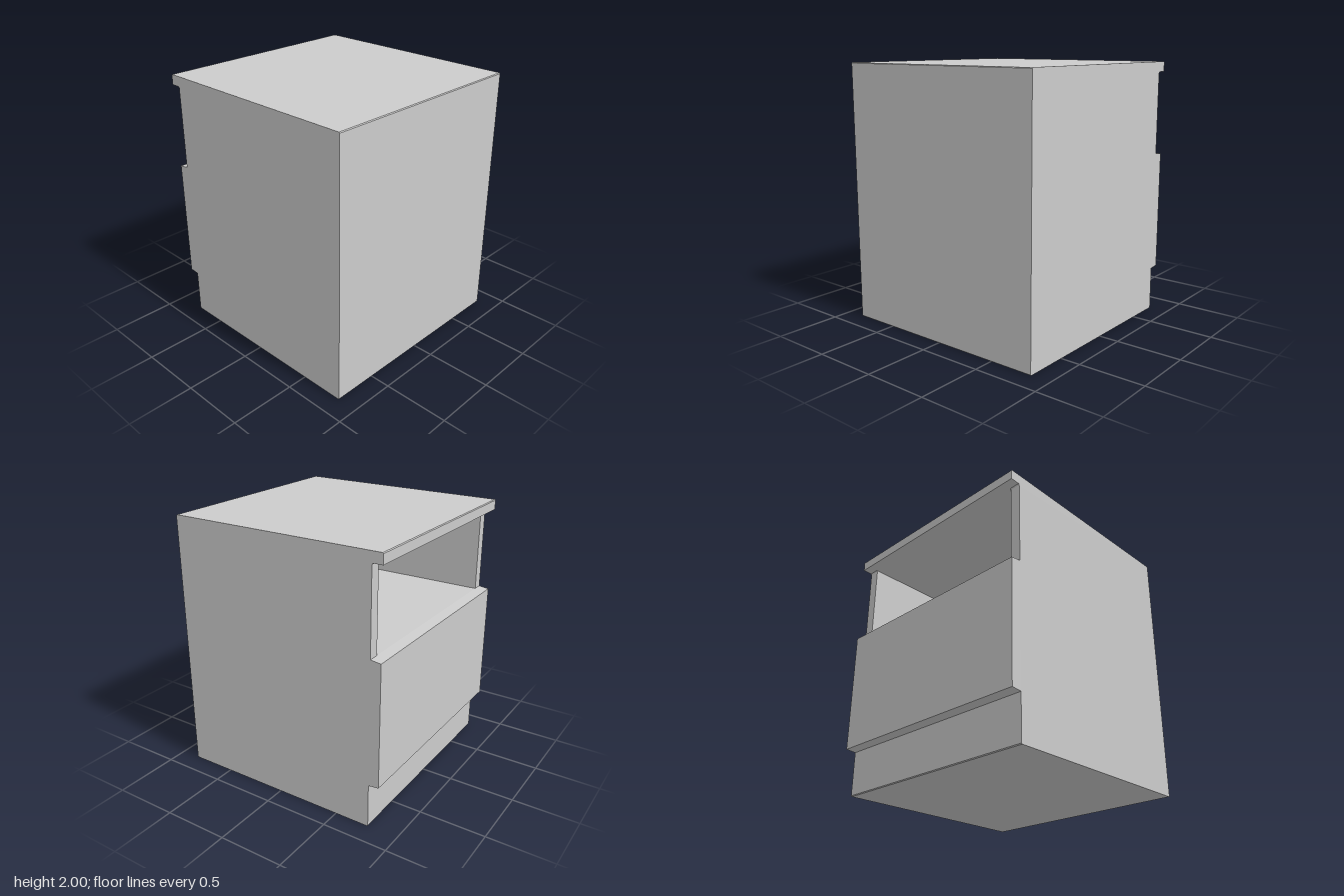
import * as THREE from 'three';

const H = 0.847;      // half width and half depth
const T = 0.08;       // panel thickness
const C = 0.006;      // small edge chamfer
const IN = -0.768;    // recessed front plane of the carcass

// Outline in x/y, swept along z from z0 to z1
function sweep(name, points, z0, z1, material) {
  const shape = new THREE.Shape(points.map(([x, y]) => new THREE.Vector2(x, y)));
  const geometry = new THREE.ExtrudeGeometry(shape, { depth: z1 - z0, bevelEnabled: false });
  geometry.translate(0, 0, z0);
  const mesh = new THREE.Mesh(geometry, material);
  mesh.name = name;
  return mesh;
}

export function createModel() {
  const group = new THREE.Group();
  group.name = 'nightstand';
  const material = new THREE.MeshStandardMaterial({ color: 0xcccccc, flatShading: true });

  // Plinth, projecting drawer front (slightly tapered), overhanging top
  const lower = [
    [H - C, 0], [H, C], [H, 2 - C], [H - C, 2], [C - H, 2], [-H, 2 - C],
    [-H, 1.922],
  ];
  const drawerAndPlinth = [
    [IN, 1.285], [-H, 1.275], [-H, 0.345], [IN, 0.338], [IN, C], [IN + C, 0],
  ];

  // Side panels: full outline with the shallow recess between top and drawer
  const side = [...lower, [IN - C, 1.922], [IN, 1.912], ...drawerAndPlinth];
  group.add(sweep('leftPanel', side, H - T, H, material));
  group.add(sweep('rightPanel', side, -H, T - H, material));

  // Middle: top, back, open niche and closed drawer section
  const middle = [...lower, [H - T, 1.922], [H - T, 1.285], ...drawerAndPlinth];
  group.add(sweep('cabinetBody', middle, T - H, H - T, material));

  return group;
}
